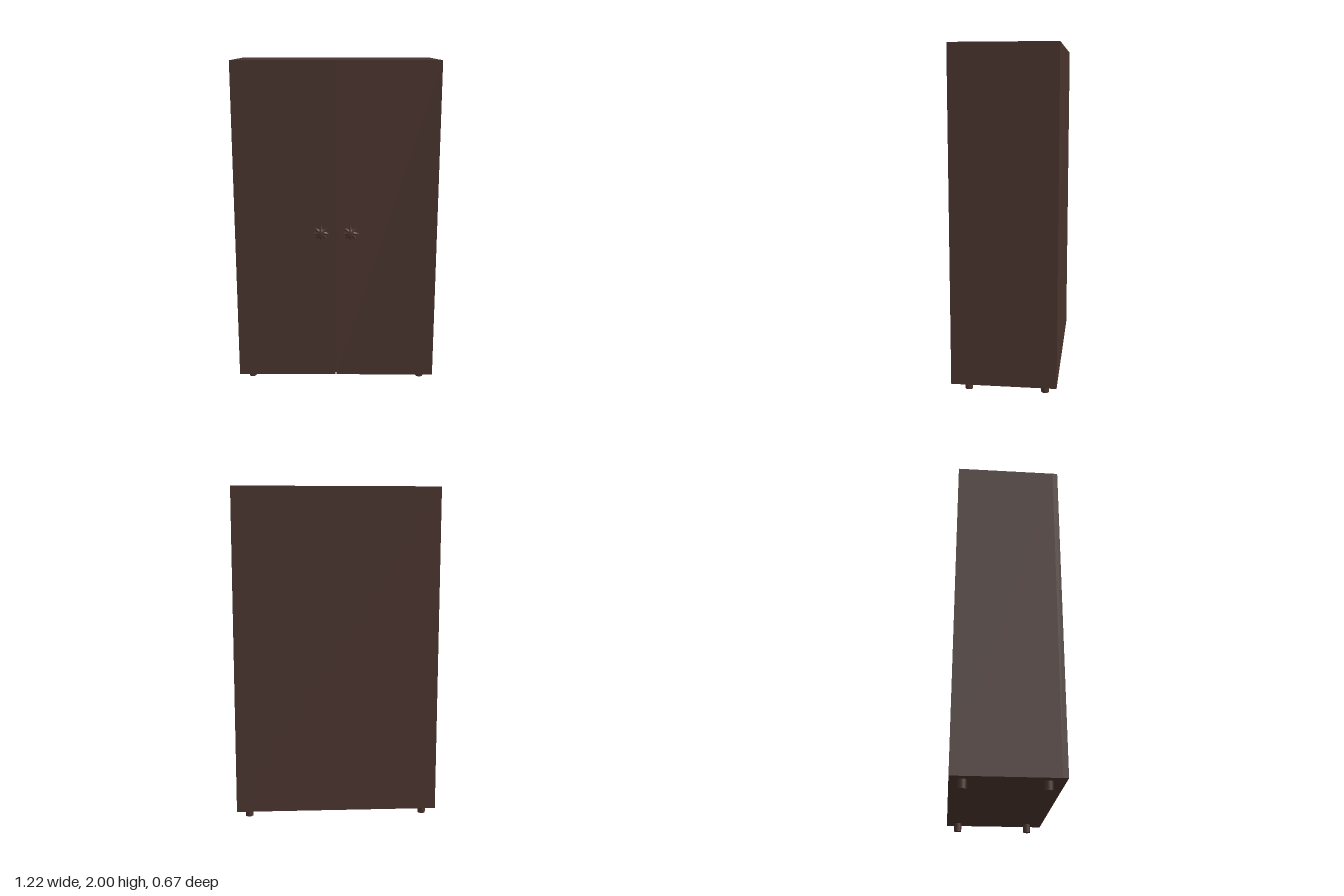
import * as THREE from 'three';

const wood = new THREE.MeshStandardMaterial({ color: 0x4a342d });
wood.name = 'dark brown wood';

function add(parent, name, geometry, x, y, z) {
  const mesh = new THREE.Mesh(geometry, wood);
  mesh.name = name;
  mesh.position.set(x, y, z);
  parent.add(mesh);
  return mesh;
}

// Eight-pointed rosette: star-shaped rings swept from back to front
function starGeometry(points = 8) {
  const n = points * 2;
  // each ring: [tip radius, valley radius, z]
  const rings = [[0, 0, -0.01], [0.016, 0.016, -0.01], [0.049, 0.027, -0.004],
    [0.049, 0.027, 0.004], [0.02, 0.016, 0.01], [0, 0, 0.012]];
  const pos = [];
  const corner = (ring, i) => {
    const [tip, valley, z] = rings[ring];
    const r = i % 2 ? valley : tip;
    const a = (i / n) * Math.PI * 2;
    return [r * Math.cos(a), r * Math.sin(a), z];
  };
  for (let k = 0; k < rings.length - 1; k++) {
    for (let i = 0; i < n; i++) {
      const a = corner(k, i), b = corner(k, i + 1);
      const c = corner(k + 1, i + 1), d = corner(k + 1, i);
      if (k > 0) pos.push(...a, ...b, ...c);
      if (k === 0) pos.push(...a, ...c, ...d);
      else if (k < rings.length - 2) pos.push(...a, ...c, ...d);
    }
  }
  const g = new THREE.BufferGeometry();
  g.setAttribute('position', new THREE.Float32BufferAttribute(pos, 3));
  g.computeVertexNormals();
  return g;
}

export function createModel() {
  const model = new THREE.Group();
  model.name = 'wardrobe';

  // Carcass and two doors with a fine gap between them
  add(model, 'carcass', new THREE.BoxGeometry(1.22, 1.95, 0.585), 0, 1.025, -0.0425);
  const doorWidth = 0.608;
  const doorGeometry = new THREE.BoxGeometry(doorWidth, 1.95, 0.03);
  const star = starGeometry();
  const stem = new THREE.CylinderGeometry(0.016, 0.016, 0.034, 16).rotateX(Math.PI / 2);
  const leg = new THREE.CylinderGeometry(0.023, 0.023, 0.05, 16);

  for (const [side, label] of [[1, 'left'], [-1, 'right']]) {
    add(model, label + 'Door', doorGeometry, side * (0.61 - doorWidth / 2), 1.025, 0.265);

    // Rosette knob on a short stem
    const knob = new THREE.Group();
    knob.name = label + 'Knob';
    knob.position.set(side * 0.088, 0.988, 0.28);
    add(knob, 'knobStem', stem, 0, 0, 0.017);
    add(knob, 'knobRosette', star, 0, 0, 0.039);
    model.add(knob);

    // Short round feet
    add(model, label + 'FrontFoot', leg, side * 0.538, 0.025, 0.186);
    add(model, label + 'BackFoot', leg, side * 0.538, 0.025, -0.264);
  }
  return model;
}
